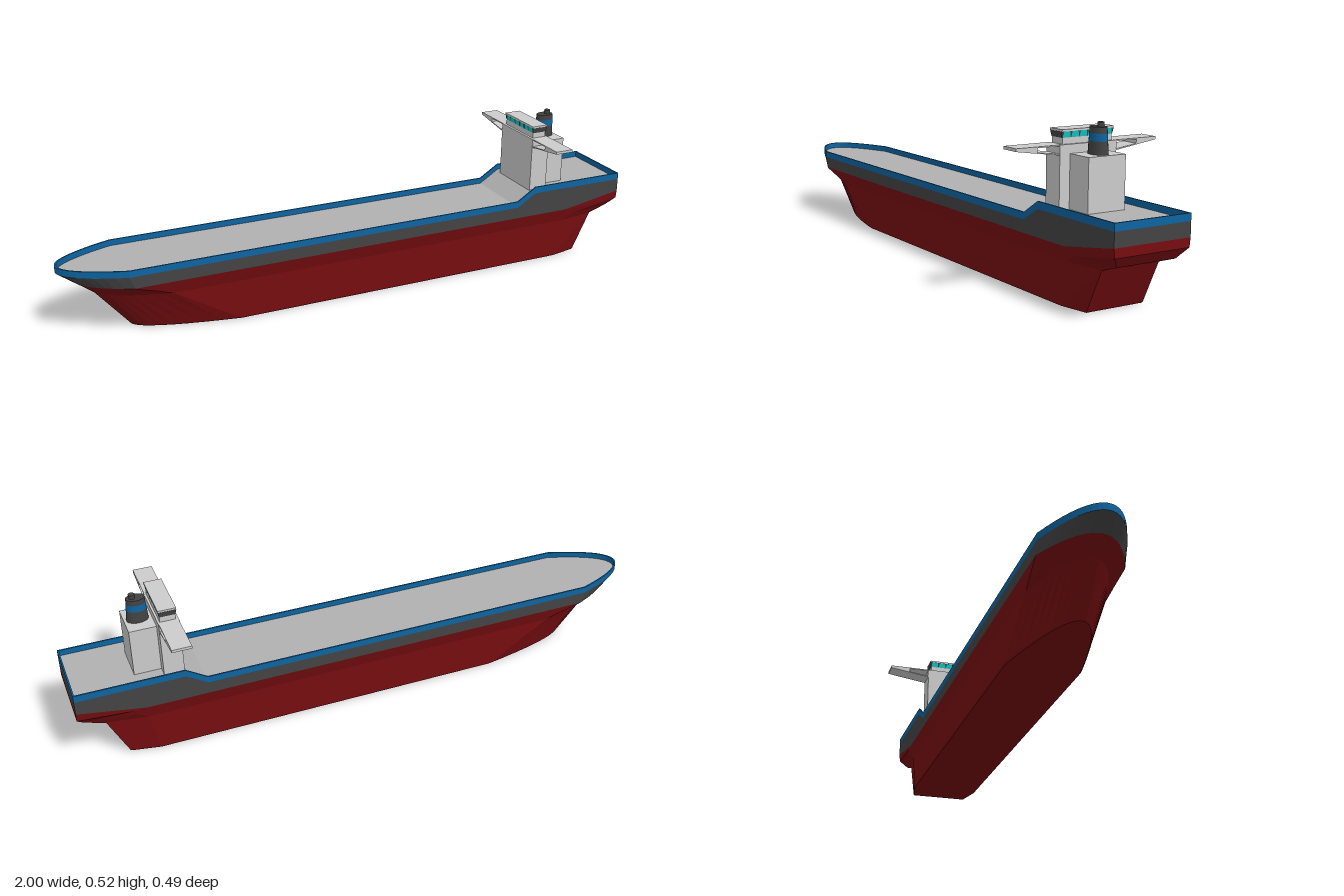
import * as THREE from 'three';

const paint = (color) => new THREE.MeshStandardMaterial({ color, flatShading: true });
const grey = paint(0xcccccc);
const deckGrey = paint(0xb0b0b0);
const red = paint(0x760d10);
const charcoal = paint(0x434343);
const blue = paint(0x0d64a0);
const teal = paint(0x10c8c8);

// Half outline of the hull at one level, from bow tip to stern centre (+z side).
// y: heights forward, at the raised aft deck and at the transom
function halfOutline({ y, bow, full, w, aft, stern, ws }) {
  const pts = [];
  const n = 10;
  for (let i = 0; i <= n; i++) {
    const s = i / n;
    pts.push([bow + (full - bow) * s * s, y[0], w * s]);
  }
  pts.push([0.58, y[0], w], [0.65, y[1], w], [aft, y[1], w], [stern, y[2], ws], [stern, y[2], 0]);
  return pts;
}

const mirrorZ = ([x, y, z]) => [x, y, -z];

function closedLoop(half) {
  return [...half, ...half.slice(1, -1).reverse().map(mirrorZ)];
}

function meshFrom(name, positions, material) {
  const geo = new THREE.BufferGeometry();
  geo.setAttribute('position', new THREE.Float32BufferAttribute(positions, 3));
  geo.computeVertexNormals();
  const mesh = new THREE.Mesh(geo, material);
  mesh.name = name;
  return mesh;
}

// Skin between successive levels
function skin(name, levels, material) {
  const pos = [];
  const loops = levels.map((l) => closedLoop(halfOutline(l)));
  for (let k = 0; k < loops.length - 1; k++) {
    const lo = loops[k], up = loops[k + 1];
    for (let i = 0; i < lo.length; i++) {
      const j = (i + 1) % lo.length;
      pos.push(...lo[i], ...lo[j], ...up[j], ...lo[i], ...up[j], ...up[i]);
    }
  }
  return meshFrom(name, pos, material);
}

// Flat cover across one level
function cap(name, level, material, up) {
  const pos = [];
  const half = halfOutline(level);
  for (let i = 0; i < half.length - 1; i++) {
    const a = half[i], b = half[i + 1], c = mirrorZ(b), d = mirrorZ(a);
    pos.push(...(up ? [a, b, c, a, c, d] : [a, c, b, a, d, c]).flat());
  }
  return meshFrom(name, pos, material);
}

function box(name, x0, x1, y0, y1, halfZ, material, flare = 0) {
  const geo = new THREE.BoxGeometry(x1 - x0, y1 - y0, halfZ * 2);
  // lean the walls outward towards the top
  const p = geo.attributes.position;
  for (let i = 0; i < p.count; i++) {
    if (p.getY(i) > 0) {
      p.setX(i, p.getX(i) + Math.sign(p.getX(i)) * flare);
      p.setZ(i, p.getZ(i) + Math.sign(p.getZ(i)) * flare);
    }
  }
  geo.computeVertexNormals();
  const mesh = new THREE.Mesh(geo, material);
  mesh.position.set((x0 + x1) / 2, (y0 + y1) / 2, 0);
  mesh.name = name;
  return mesh;
}

function createHull() {
  const hull = new THREE.Group();
  hull.name = 'hull';
  const level = (y, bow, full, w, aft, stern, ws) => ({ y, bow, full, w, aft, stern, ws });
  const keel = level([0, 0, 0], -0.78, -0.44, 0.117, 0.75, 0.843, 0.098);
  const bilge = level([0.005, 0.005, 0.005], -0.784, -0.45, 0.12, 0.75, 0.847, 0.1);
  const knuckle = level([0.135, 0.135, 0.135], -0.89, -0.66, 0.12, 0.78, 0.91, 0.1);
  const counter = level([0.157, 0.157, 0.157], -0.917, -0.72, 0.1255, 0.81, 0.975, 0.102);
  const shoulder = level([0.177, 0.177, 0.19], -0.942, -0.78, 0.131, 0.82, 1, 0.129);
  const waterline = level([0.18, 0.18, 0.218], -0.946, -0.785, 0.132, 0.78, 1, 0.132);
  const band = level([0.22, 0.263, 0.263], -1, -0.8, 0.132, 0.78, 1, 0.132);
  const rail = level([0.242, 0.286, 0.286], -1, -0.8, 0.132, 0.78, 1, 0.132);
  const railInside = level([0.242, 0.286, 0.286], -0.994, -0.798, 0.127, 0.78, 0.995, 0.127);
  const deck = level([0.222, 0.266, 0.266], -0.994, -0.798, 0.127, 0.78, 0.995, 0.127);
  hull.add(
    cap('hullBottom', keel, red, false),
    skin('lowerHull', [keel, bilge, knuckle, counter, shoulder, waterline], red),
    skin('upperHull', [waterline, band], charcoal),
    skin('bulwark', [band, rail, railInside, deck], blue),
    cap('deck', deck, deckGrey, true)
  );
  return hull;
}

// Tapered bridge wing with an open bracket, extruded along x
function createWing(side) {
  const shape = new THREE.Shape([
    [0.095, 0.422], [0.247, 0.444], [0.247, 0.453], [0.095, 0.453]
  ].map(([z, y]) => new THREE.Vector2(z, y)));
  shape.holes.push(new THREE.Path([
    [0.101, 0.427], [0.101, 0.449], [0.175, 0.449], [0.175, 0.437]
  ].map(([z, y]) => new THREE.Vector2(z, y))));
  const geo = new THREE.ExtrudeGeometry(shape, { depth: 0.063, bevelEnabled: false });
  geo.translate(0, 0, -0.0315);
  const wing = new THREE.Mesh(geo, grey);
  wing.rotation.y = -side * Math.PI / 2;
  wing.position.x = 0.678;
  wing.name = side > 0 ? 'leftBridgeWing' : 'rightBridgeWing';
  return wing;
}

function createBridge() {
  const g = new THREE.Group();
  g.name = 'superstructure';
  g.add(
    box('accommodationBlock', 0.645, 0.711, 0.22, 0.4525, 0.1, grey),
    box('engineCasing', 0.711, 0.798, 0.26, 0.426, 0.065, grey),
    box('wheelhouse', 0.654, 0.704, 0.452, 0.471, 0.087, grey),
    box('windowBand', 0.654, 0.704, 0.471, 0.489, 0.087, teal, 0.003),
    box('wheelhouseRoof', 0.65, 0.708, 0.489, 0.495, 0.091, grey),
    createWing(1),
    createWing(-1)
  );
  // window posts
  for (let i = -2; i <= 2; i++) {
    const post = box('windowPost', 0.6535, 0.7045, 0.471, 0.489, 0.0009, charcoal, 0.003);
    post.position.z = i * 0.029;
    g.add(post);
  }
  for (const s of [-1, 1]) {
    const post = box('windowEndPost', 0.6535, 0.7045, 0.471, 0.489, 0.001, charcoal, 0.003);
    post.position.z = s * 0.0875;
    post.scale.x = 0.999;
    g.add(post);
    const sidePost = box('sideWindowPost', 0.678, 0.68, 0.471, 0.489, 0.0872, charcoal, 0.0031);
    g.add(sidePost);
  }
  return g;
}

function createFunnel() {
  const funnel = new THREE.Group();
  funnel.name = 'funnel';
  const radiusAt = (y) => 0.035 - (y - 0.425) * 0.07;
  const section = (name, y0, y1, material) => {
    const geo = new THREE.CylinderGeometry(radiusAt(y1), radiusAt(y0), y1 - y0, 24);
    const mesh = new THREE.Mesh(geo, material);
    mesh.scale.z = 0.74;
    mesh.position.y = (y0 + y1) / 2;
    mesh.name = name;
    funnel.add(mesh);
  };
  section('funnelBase', 0.425, 0.464, charcoal);
  section('funnelBand', 0.464, 0.486, blue);
  section('funnelTop', 0.486, 0.504, charcoal);
  const pipe = new THREE.Mesh(new THREE.CylinderGeometry(0.01, 0.01, 0.018, 16), charcoal);
  pipe.position.set(0.01, 0.509, 0);
  pipe.name = 'exhaustPipe';
  funnel.add(pipe);
  funnel.position.x = 0.755;
  return funnel;
}

export function createModel() {
  const ship = new THREE.Group();
  ship.name = 'cargoShip';
  ship.add(createHull(), createBridge(), createFunnel());
  return ship;
}
